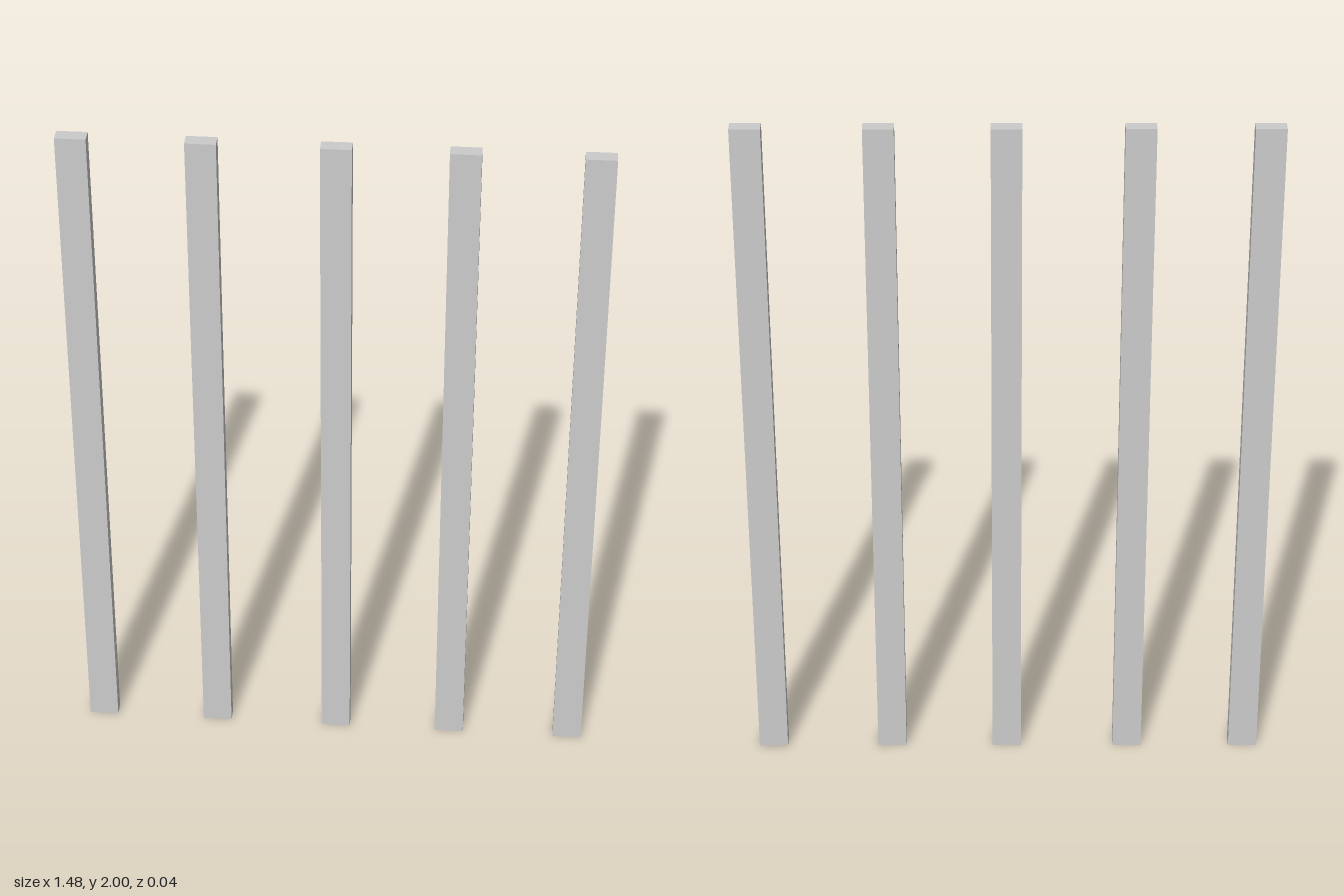
import * as THREE from 'three';

export function createModel() {
  const model = new THREE.Group();
  model.name = 'slatRow';

  const width = 0.084, height = 2, depth = 0.04;
  const material = new THREE.MeshStandardMaterial({ color: 0xcccccc });
  const geometry = new THREE.BoxGeometry(width, height, depth);

  // Five upright slats, slightly unevenly spaced
  [-0.697, -0.353, 0.004, 0.344, 0.697].forEach((x, i) => {
    const slat = new THREE.Mesh(geometry, material);
    slat.name = `slat${i + 1}`;
    slat.position.set(x, height / 2, 0);
    model.add(slat);
  });

  return model;
}
